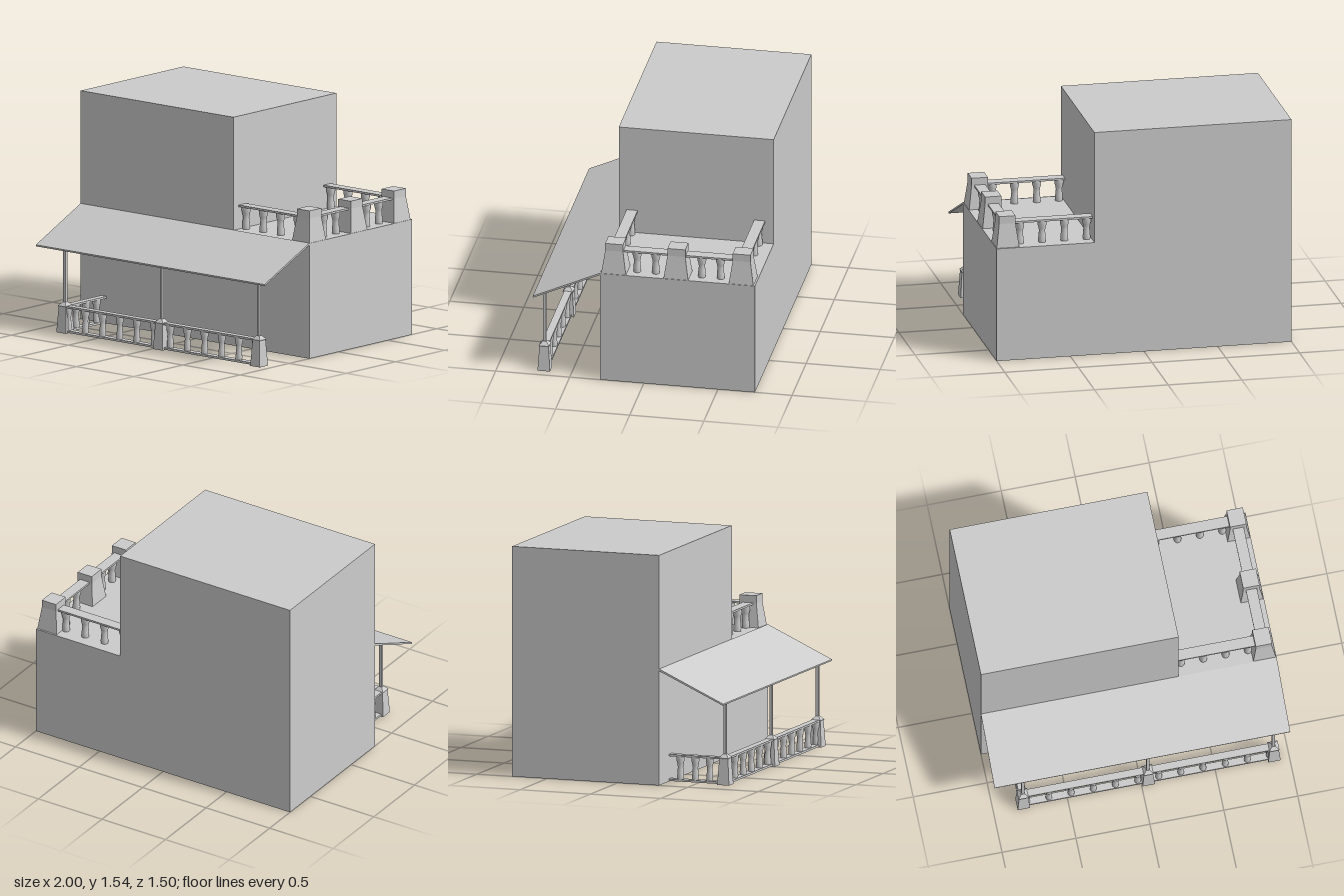
import * as THREE from 'three';

const grey = new THREE.MeshStandardMaterial({ color: 0xcccccc });
const flat = new THREE.MeshStandardMaterial({ color: 0xcccccc, flatShading: true });

function add(group, name, geometry, x, y, z, material = grey) {
  const mesh = new THREE.Mesh(geometry, material);
  mesh.name = name;
  mesh.position.set(x, y, z);
  group.add(mesh);
  return mesh;
}

// Box given by its lower and upper limits on each axis
function block(group, name, [x0, x1], [y0, y1], [z0, z1]) {
  return add(group, name, new THREE.BoxGeometry(x1 - x0, y1 - y0, z1 - z0),
    (x0 + x1) / 2, (y0 + y1) / 2, (z0 + z1) / 2);
}

// Square pillar from [half width, height] pairs
function squarePillar(profile) {
  const points = profile.map(([h, y]) => new THREE.Vector2(h * Math.SQRT2, y));
  return new THREE.LatheGeometry(points, 4).rotateY(Math.PI / 4).toNonIndexed();
}

// Turned baluster with a swelling top and a narrow waist
function balusterGeometry(radius, height) {
  const profile = [[0.82, 0], [0.86, 0.12], [0.8, 0.3], [0.68, 0.52], [0.78, 0.66], [1, 0.82], [1, 1]];
  return new THREE.LatheGeometry(
    profile.map(([r, y]) => new THREE.Vector2(r * radius, y * height)), 16);
}

// Two-level house with an open terrace on its left
function house() {
  const shape = new THREE.Shape([
    [-1, 0], [1, 0], [1, 0.78], [0.337, 0.78], [0.337, 1.545], [-1, 1.545],
  ].map(([x, y]) => new THREE.Vector2(x, y)));
  return new THREE.ExtrudeGeometry(shape, { depth: 1.045, bevelEnabled: false });
}

// Sloping slab of the porch roof, drawn in side section
function porchRoof() {
  const shape = new THREE.Shape([
    [0.295, 0.768], [0.748, 0.562], [0.75, 0.573], [0.295, 0.782],
  ].map(([z, y]) => new THREE.Vector2(-z, y)));
  return new THREE.ExtrudeGeometry(shape, { depth: 2, bevelEnabled: false }).rotateY(Math.PI / 2);
}

function porch() {
  const group = new THREE.Group();
  group.name = 'porch';
  add(group, 'porchRoof', porchRoof(), -1, 0, 0);

  const z = 0.687;
  const pillar = squarePillar([[0, 0], [0.042, 0], [0.031, 0.172], [0.035, 0.18], [0.012, 0.205], [0, 0.205]]);
  for (const x of [-0.797, 0.048, 0.898]) {
    add(group, 'porchPillar', pillar, x, 0, z, flat);
    block(group, 'roofPost', [x - 0.01, x + 0.01], [0.2, 0.595], [z - 0.01, z + 0.01]);
  }

  // Front rails run between the pillars, side rails run back to the wall
  for (const [name, y] of [['bottomRail', [0.004, 0.018]], ['topRail', [0.17, 0.183]]]) {
    block(group, name, [-0.797, 0.898], y, [z - 0.025, z + 0.025]);
    block(group, name, [-0.822, -0.772], y, [0.295, z]);
  }

  const baluster = balusterGeometry(0.026, 0.154);
  for (const start of [-0.77, 0.122]) {
    for (let i = 0; i < 6; i++) add(group, 'porchBaluster', baluster, start + i * 0.15, 0.017, z);
  }
  for (const bz of [0.577, 0.475, 0.369]) add(group, 'porchBaluster', baluster, -0.797, 0.017, bz);
  return group;
}

function terrace() {
  const group = new THREE.Group();
  group.name = 'terrace';
  const floor = 0.78, px = 0.92;
  const rows = [0.205, -0.215, -0.655];

  const pillar = squarePillar([[0, 0], [0.083, 0], [0.06, 0.16], [0.06, 0.212], [0, 0.212]]);
  for (const z of rows) {
    const mesh = add(group, 'terracePillar', pillar, px, floor, z, flat);
    mesh.scale.x = 0.92;
  }

  // Handrails on the front, back and outer edge
  const railY = [0.93, 0.943];
  for (const z of [rows[0], rows[2]]) {
    block(group, 'handrail', [0.337, px], railY, [z - 0.037, z + 0.037]);
  }
  block(group, 'handrail', [px - 0.037, px + 0.037], railY, [rows[2], rows[0]]);

  const baluster = balusterGeometry(0.03, 0.15);
  for (const z of [rows[0], rows[2]]) {
    for (let i = 0; i < 4; i++) add(group, 'terraceBaluster', baluster, 0.37 + i * 0.151, floor, z);
  }
  for (const z of [0.06, -0.066, -0.377, -0.503]) add(group, 'terraceBaluster', baluster, px, floor, z);
  return group;
}

export function createModel() {
  const model = new THREE.Group();
  model.name = 'houseWithPorch';
  add(model, 'house', house(), 0, 0, -0.75);
  model.add(porch(), terrace());
  return model;
}
